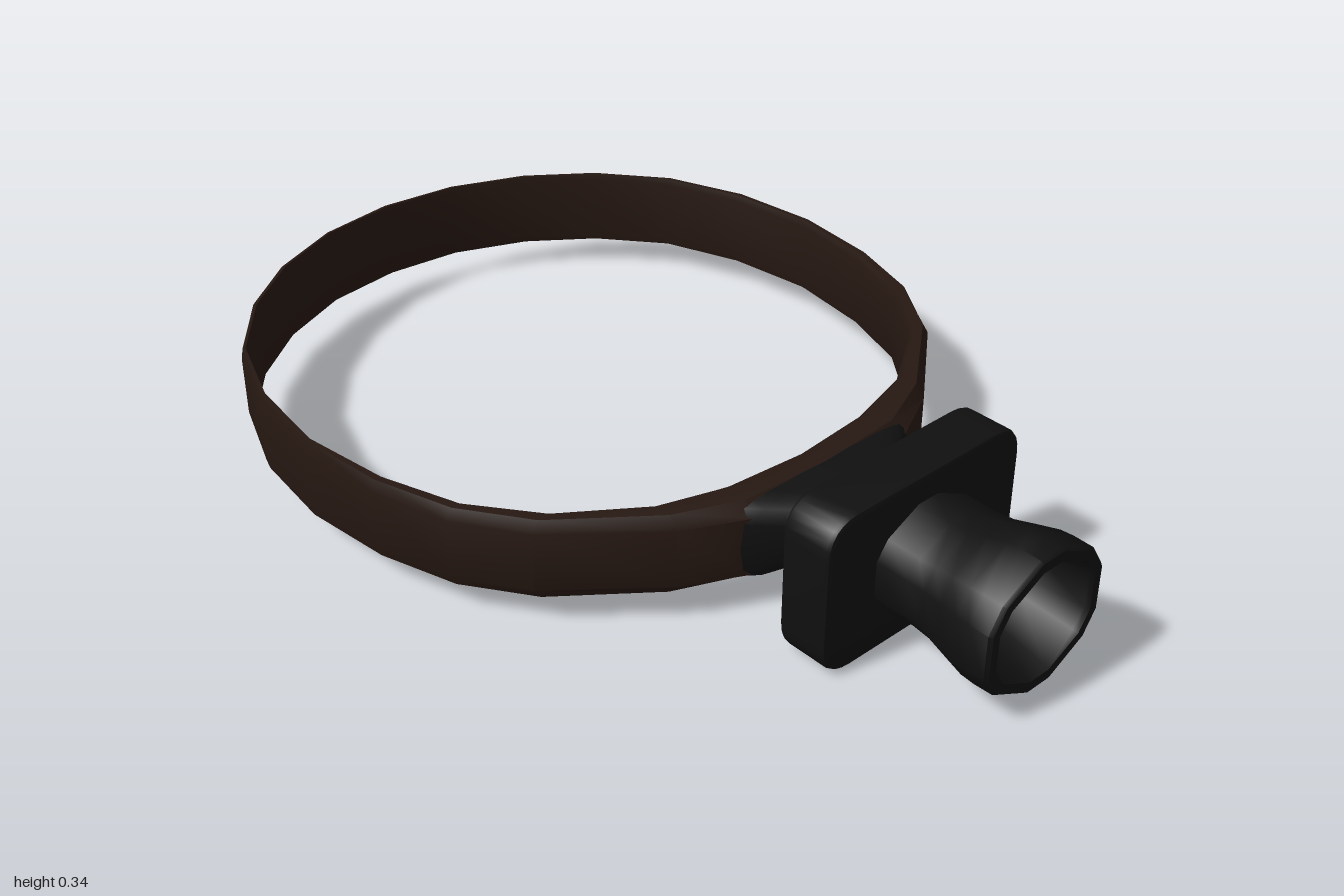
import * as THREE from 'three';
import { toCreasedNormals } from 'three/addons/utils/BufferGeometryUtils.js';

const brown = new THREE.MeshStandardMaterial({ color: 0x261812 });
const black = new THREE.MeshStandardMaterial({ color: 0x101011 });
const grey = new THREE.MeshStandardMaterial({ color: 0xcccccc });

// Skin a row of closed cross-sections; loop joins the last one to the first.
function loft(rings, loop = false, crease = 0.7) {
  const n = rings[0].length, index = [];
  const last = loop ? rings.length : rings.length - 1;
  for (let i = 0; i < last; i++) {
    const k = (i + 1) % rings.length;
    for (let j = 0; j < n; j++) {
      const m = (j + 1) % n;
      const a = i * n + j, b = i * n + m, c = k * n + j, d = k * n + m;
      index.push(a, b, d, a, d, c);
    }
  }
  const geo = new THREE.BufferGeometry();
  geo.setAttribute('position', new THREE.Float32BufferAttribute(rings.flat(2), 3));
  geo.setIndex(index);
  return toCreasedNormals(geo, crease);
}

// Hexagon with clipped corners, pointing up, in the plane of a given x.
function hexRing(x, cy, halfZ, halfY, cut = 0.2) {
  const corner = (i) => [Math.cos(i * Math.PI / 3), Math.sin(i * Math.PI / 3)];
  const ring = [];
  for (let i = 0; i < 6; i++) {
    const p = corner(i), q = corner(i + 1);
    for (const t of [cut, 1 - cut]) {
      const y = p[0] + (q[0] - p[0]) * t, z = p[1] + (q[1] - p[1]) * t;
      ring.push([x, cy + y * halfY / (1 - cut / 2), z * halfZ / 0.866]);
    }
  }
  return ring;
}

// Rounded rectangular ring in the plane of a given x.
function softRing(x, cy, halfZ, halfY, power) {
  const ring = [];
  for (let i = 0; i < 24; i++) {
    const a = i * Math.PI / 12, c = Math.cos(a), s = Math.sin(a);
    ring.push([x,
      cy + Math.sign(c) * Math.abs(c) ** power * halfY,
      Math.sign(s) * Math.abs(s) ** power * halfZ]);
  }
  return ring;
}

// Headband: thin at the back, thickening into the mount.
function strapGeometry() {
  const inner = [[0.395, 0], [0.38, 0.18], [0.335, 0.34], [0.235, 0.49], [0.1, 0.595],
    [-0.07, 0.655], [-0.27, 0.685], [-0.47, 0.66], [-0.65, 0.595], [-0.79, 0.48],
    [-0.895, 0.34], [-0.965, 0.175], [-0.985, 0]];
  const outer = [[0.485, 0], [0.475, 0.21], [0.41, 0.34], [0.24, 0.545], [0.1, 0.635],
    [-0.07, 0.685], [-0.27, 0.703], [-0.47, 0.68], [-0.65, 0.61], [-0.8, 0.49],
    [-0.905, 0.35], [-0.975, 0.18], [-1, 0]];
  const section = [[0, 0.075], [0.2, 0.062], [0.7, 0.062], [1, 0.085],
    [1, 0.215], [0.7, 0.24], [0.2, 0.24], [0, 0.225]];
  const rings = [];
  for (let i = 0; i < 24; i++) {
    const k = i <= 12 ? i : 24 - i, side = i <= 12 ? 1 : -1;
    rings.push(section.map(([t, y]) => [
      inner[k][0] + (outer[k][0] - inner[k][0]) * t, y,
      side * (inner[k][1] + (outer[k][1] - inner[k][1]) * t)]));
  }
  return loft(rings, true);
}

// Rounded plate standing between the neck and the barrel.
function plateGeometry() {
  const w = 0.25, h = 0.1625, r = 0.065;
  const s = new THREE.Shape();
  s.moveTo(-w + r, -h);
  s.lineTo(w - r, -h);
  s.quadraticCurveTo(w, -h, w, -h + r);
  s.lineTo(w, h - r);
  s.quadraticCurveTo(w, h, w - r, h);
  s.lineTo(-w + r, h);
  s.quadraticCurveTo(-w, h, -w, h - r);
  s.lineTo(-w, -h + r);
  s.quadraticCurveTo(-w, -h, -w + r, -h);
  const geo = new THREE.ExtrudeGeometry(s, {
    depth: 0.095, bevelEnabled: true, bevelThickness: 0.01, bevelSize: 0.01,
    bevelSegments: 2, curveSegments: 6,
  });
  geo.rotateY(Math.PI / 2);
  geo.translate(0.61, 0.1725, 0);
  return toCreasedNormals(geo, 0.7);
}

export function createModel() {
  const model = new THREE.Group();
  const add = (name, geometry, material) => {
    const mesh = new THREE.Mesh(geometry, material);
    mesh.name = name;
    model.add(mesh);
  };

  add('headband', strapGeometry(), brown);

  // Neck flares from the plate onto the headband.
  add('neck', loft([
    [0.455, 0.151, 0.24, 0.089, 0.35], [0.48, 0.152, 0.215, 0.088, 0.4],
    [0.51, 0.157, 0.172, 0.078, 0.5], [0.54, 0.168, 0.14, 0.064, 0.6],
    [0.57, 0.173, 0.127, 0.058, 0.6], [0.61, 0.173, 0.125, 0.056, 0.6],
  ].map((r) => softRing(...r))), black);

  add('mountPlate', plateGeometry(), black);

  // Barrel widens to the rim, then turns inward to hold the lens.
  const cy = 0.171;
  add('lampBarrel', loft([
    [0.705, 0.132, 0.117], [0.79, 0.132, 0.115], [0.83, 0.135, 0.12], [0.875, 0.145, 0.134],
    [0.92, 0.155, 0.147], [0.95, 0.156, 0.15], [0.993, 0.156, 0.148], [1, 0.15, 0.143],
    [1, 0.132, 0.122], [0.99, 0.127, 0.116], [0.88, 0.115, 0.092],
  ].map(([x, z, y]) => hexRing(x, cy, z, y))), black);

  // Shallow domed lens set back inside the barrel.
  add('lens', loft([
    [0.882, 0.116, 0.093], [0.889, 0.08, 0.064], [0.893, 0.04, 0.032], [0.894, 0.0005, 0.0005],
  ].map(([x, z, y]) => hexRing(x, cy, z, y))), grey);

  return model;
}
